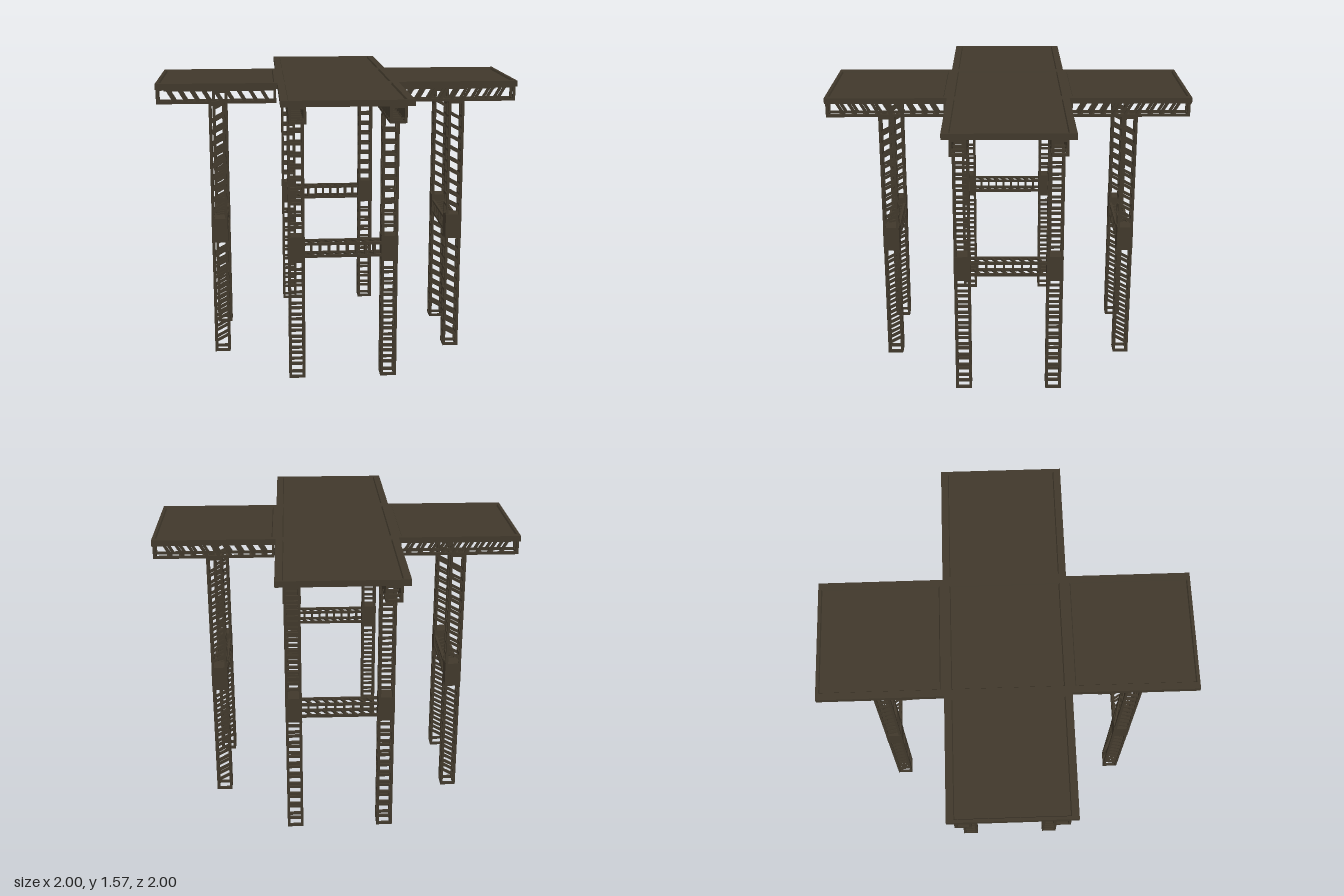
import * as THREE from 'three';
import { mergeGeometries } from 'three/addons/utils/BufferGeometryUtils.js';

const STEP = 0.0643;   // spacing of the lattice members
const R = 0.037;       // half width between truss chord centres
const T = 0.014;       // bar thickness
const LEG_TOP = 1.458;
const DECK_BOTTOM = 1.541, DECK_FLOOR = 1.563, DECK_TOP = 1.573;

// square bar between two points
function bar(a, b, t = T) {
  const from = new THREE.Vector3(...a), to = new THREE.Vector3(...b);
  const g = new THREE.BoxGeometry(t, t, from.distanceTo(to));
  const m = new THREE.Matrix4().lookAt(to, from, new THREE.Vector3(0, 1, 0));
  if (Math.abs(to.x - from.x) + Math.abs(to.z - from.z) < 1e-6) m.makeRotationX(Math.PI / 2);
  g.applyMatrix4(m);
  const mid = from.add(to).multiplyScalar(0.5);
  return g.translate(mid.x, mid.y, mid.z);
}

// lattice leg: level rungs on the z faces, slanted bars on the x faces
function legGeometry() {
  const bars = [];
  for (const s of [-1, 1]) {
    for (const u of [-1, 1]) bars.push(bar([s * R, 0, u * R], [s * R, LEG_TOP, u * R]));
    for (const y of [T / 2, LEG_TOP - T / 2]) {
      bars.push(bar([-R, y, s * R], [R, y, s * R]), bar([s * R, y, -R], [s * R, y, R]));
    }
    for (let i = 0; i < 21; i++) {
      const y = 0.083 + i * STEP;
      if (y > 0.65 && y < 0.81) continue;
      bars.push(bar([-R, y, s * R], [R, y, s * R]));
      bars.push(bar([s * R, y - 0.02, R], [s * R, y + 0.02, -R]));
    }
  }
  return mergeGeometries(bars);
}

// girder under the deck, running along z
function girderGeometry() {
  const bars = [], z0 = 0.347, z1 = 0.993, y0 = 1.463, y1 = 1.538;
  for (const s of [-1, 1]) {
    for (const y of [y0, y1]) bars.push(bar([s * R, y, z0 - T / 2], [s * R, y, z1 + T / 2]));
    for (const z of [z0, z1]) {
      bars.push(bar([s * R, y0, z], [s * R, y1, z]));
      bars.push(bar([-R, s > 0 ? y0 : y1, z], [R, s > 0 ? y0 : y1, z]));
    }
    for (let i = 0; i < 9; i++) {
      const z = 0.405 + i * STEP;
      bars.push(bar([s * R, y0, z - 0.022], [s * R, y1, z + 0.022]));
      bars.push(bar([-R, s > 0 ? y0 : y1, z], [R, s > 0 ? y0 : y1, z]));
    }
  }
  return mergeGeometries(bars);
}

// brace between a pair of legs, running along x
function braceGeometry() {
  const bars = [], L = 0.21, y0 = 0.692, y1 = 0.76, r = 0.034, d = 0.0485;
  for (const s of [-1, 1]) {
    for (const y of [y0, y1]) bars.push(bar([-L, y, s * r], [L, y, s * r]));
    for (let i = 0; i < 8; i++) {
      const x = (i - 3.5) * d;
      bars.push(bar([x, y0, s * r], [x, y1, s * r], 0.011));
      const y = s > 0 ? y1 : y0;
      bars.push(bar([x - 0.02, y, -r], [x + 0.02, y, r], 0.011));
    }
  }
  return mergeGeometries(bars);
}

// plus-shaped outline of the deck
function crossShape() {
  const a = 0.333, b = 1;
  return new THREE.Shape([[-a, b], [-a, a], [-b, a], [-b, -a], [-a, -a], [-a, -b],
    [a, -b], [a, -a], [b, -a], [b, a], [a, a], [a, b]].map(([x, y]) => new THREE.Vector2(x, y)));
}

function slab(shape, y0, y1) {
  return new THREE.ExtrudeGeometry(shape, { depth: y1 - y0, bevelEnabled: false })
    .rotateX(-Math.PI / 2).translate(0, y0, 0);
}

// sloped inner edge around a sunken panel
function panelEdge(p) {
  const h = DECK_TOP - DECK_FLOOR, k = Math.SQRT1_2;
  const g = new THREE.CylinderGeometry(1, 0.985, h, 4, 1, true).rotateY(Math.PI / 4)
    .scale(-p.hw / k, 1, p.hd / k).translate(p.x, DECK_FLOOR + h / 2, p.z);
  // the mirrored scale needs its corners reversed only through fresh normals
  const flat = g.toNonIndexed();
  flat.computeVertexNormals();
  return flat;
}

export function createModel() {
  const model = new THREE.Group();
  const steel = new THREE.MeshStandardMaterial({ color: 0x40382b });
  steel.name = 'dark brown steel';
  const add = (parent, name, geometry, x = 0, y = 0, z = 0) => {
    const mesh = new THREE.Mesh(geometry, steel);
    mesh.name = name;
    mesh.position.set(x, y, z);
    parent.add(mesh);
  };

  // deck: plate, raised rim and sunken panels
  const panels = [{ x: 0, z: 0, hw: 0.295, hd: 0.295 }];
  for (const s of [-1, 1]) {
    panels.push({ x: 0, z: s * 0.667, hw: 0.295, hd: 0.317 });
    panels.push({ x: s * 0.667, z: 0, hw: 0.317, hd: 0.295 });
  }
  add(model, 'deckPlate', slab(crossShape(), DECK_BOTTOM, DECK_FLOOR));
  const rim = crossShape();
  for (const { x, z, hw, hd } of panels) {
    rim.holes.push(new THREE.Path([[-1, -1], [-1, 1], [1, 1], [1, -1]]
      .map(([u, v]) => new THREE.Vector2(x + u * hw, -z + v * hd))));
  }
  add(model, 'deckRim', slab(rim, DECK_FLOOR, DECK_TOP));
  add(model, 'panelEdges', mergeGeometries(panels.map(panelEdge)));

  // four identical arms, each with two legs, two girders and a brace
  const leg = legGeometry(), girder = girderGeometry(), brace = braceGeometry();
  const joint = new THREE.BoxGeometry(0.09, 0.14, 0.09);
  for (let i = 0; i < 4; i++) {
    const arm = new THREE.Group();
    arm.name = 'arm' + (i + 1);
    arm.rotation.y = i * Math.PI / 2;
    for (const s of [-1, 1]) {
      add(arm, 'leg', leg, s * 0.25, 0, 0.67);
      add(arm, 'jointBlock', joint, s * 0.25, 0.73, 0.67);
      add(arm, 'girder', girder, s * 0.25, 0, 0);
    }
    add(arm, 'brace', brace, 0, 0, 0.67);
    model.add(arm);
  }
  return model;
}
